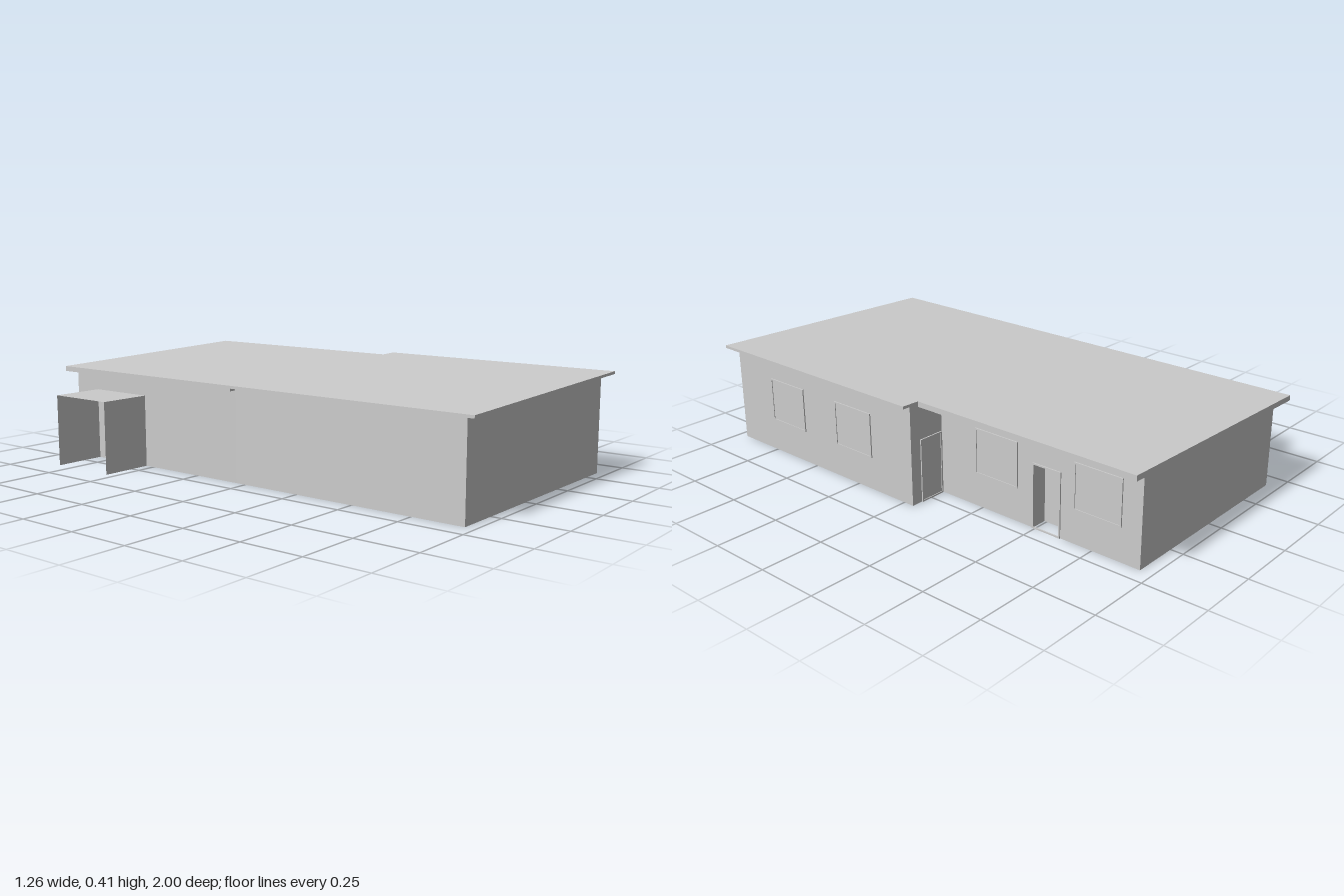
import * as THREE from 'three';

const material = new THREE.MeshStandardMaterial({ color: 0xcccccc, side: THREE.DoubleSide, flatShading: true });
const SEAM = -0.045;

// Height of the sloping roof surface at x
const roofTop = (x) => 0.377 + 0.028 * (x + 0.445);

function add(parent, name, geometry) {
  const mesh = new THREE.Mesh(geometry, material);
  mesh.name = name;
  parent.add(mesh);
  return mesh;
}

// Thin vertical wall from a to b ([x, z]), left to right as seen from outside
function wall(parent, name, a, b, topA, topB = topA, bottom = 0) {
  const p = [[a[0], bottom, a[1]], [b[0], bottom, b[1]], [b[0], topB, b[1]], [a[0], topA, a[1]]];
  const geometry = new THREE.BufferGeometry();
  geometry.setAttribute('position', new THREE.Float32BufferAttribute([0, 1, 2, 0, 2, 3].flatMap((i) => p[i]), 3));
  geometry.computeVertexNormals();
  return add(parent, name, geometry);
}

// Sloping roof slab running along z
function roof(parent, name, x0, x1, z0, z1, thickness) {
  const s = new THREE.Shape();
  s.moveTo(x0, roofTop(x0) - thickness);
  s.lineTo(x1, roofTop(x1) - thickness);
  s.lineTo(x1, roofTop(x1));
  s.lineTo(x0, roofTop(x0));
  s.closePath();
  const geometry = new THREE.ExtrudeGeometry(s, { depth: z1 - z0, bevelEnabled: false });
  return add(parent, name, geometry.translate(0, 0, z0));
}

// Raised frame with an optional inset panel, facing +z before rotation
function framed(parent, name, w, h, position, turn, panel = true) {
  const group = new THREE.Group();
  group.name = name;
  const b = 0.006;
  const rect = (target, x, y) => {
    target.moveTo(-x, -y);
    target.lineTo(x, -y);
    target.lineTo(x, y);
    target.lineTo(-x, y);
    target.closePath();
    return target;
  };
  const s = rect(new THREE.Shape(), w / 2, h / 2);
  s.holes.push(rect(new THREE.Path(), w / 2 - b, h / 2 - b));
  add(group, 'frame', new THREE.ExtrudeGeometry(s, { depth: 0.005, bevelEnabled: false }));
  if (panel) add(group, 'panel', new THREE.PlaneGeometry(w - 2 * b, h - 2 * b).translate(0, 0, 0.002));
  group.position.set(...position);
  group.rotation.y = turn;
  parent.add(group);
}

export function createModel() {
  const model = new THREE.Group();
  model.name = 'house';
  const L = -0.42, RF = 0.595, RB = 0.435, ZF = 0.96, ZB = -0.95;
  const tF = (x) => roofTop(x) - 0.011, tB = (x) => roofTop(x) - 0.021;

  // Front block, open underneath
  wall(model, 'frontWall', [L, ZF], [RF, ZF], tF(L), tF(RF));
  wall(model, 'frontBlockLeftWall', [RF, ZF], [RF, SEAM], tF(RF));
  wall(model, 'partitionWall', [RF, SEAM], [L, SEAM], tF(RF), tF(L));
  wall(model, 'frontBlockRightWall', [L, SEAM], [L, ZF], tF(L));

  // Back block, with a doorway in its left wall
  const d0 = -0.49, d1 = -0.61, doorTop = 0.255, inner = RB - 0.065;
  wall(model, 'backWall', [RB, ZB], [L, ZB], tB(RB), tB(L));
  wall(model, 'backBlockRightWall', [L, ZB], [L, SEAM], tB(L));
  wall(model, 'backBlockLeftWall', [RB, SEAM], [RB, d0], tB(RB));
  wall(model, 'backBlockLeftWall', [RB, d1], [RB, ZB], tB(RB));
  wall(model, 'wallAboveDoor', [RB, d0], [RB, d1], tB(RB), tB(RB), doorTop);

  // Recessed entrance
  wall(model, 'doorJamb', [RB, d0], [inner, d0], doorTop);
  wall(model, 'doorJamb', [inner, d1], [RB, d1], doorTop);
  wall(model, 'entranceDoor', [inner, d0], [inner, d1], doorTop);
  add(model, 'entranceCeiling', new THREE.PlaneGeometry(RB - inner, d0 - d1).rotateX(Math.PI / 2)
    .translate((RB + inner) / 2, doorTop, (d0 + d1) / 2));
  framed(model, 'entranceFrame', 0.126, doorTop, [RB, doorTop / 2, (d0 + d1) / 2], Math.PI / 2, false);

  // Roofs
  roof(model, 'frontRoof', -0.445, 0.63, -0.047, 1, 0.011);
  roof(model, 'backRoof', -0.445, 0.555, -1, -0.047, 0.021);

  // Windows on the left side
  for (const [x, z] of [[RF, 0.655], [RF, 0.268], [RB, -0.318], [RB, -0.77]])
    framed(model, 'window', 0.2, 0.18, [x, 0.222, z], Math.PI / 2);

  // Door in the step between the two blocks
  framed(model, 'stepDoor', 0.11, 0.252, [0.493, 0.126, SEAM], Math.PI);

  // Porch: two thin walls and a flat roof, open on its outer side
  const P = -0.635, p0 = -0.825, p1 = -0.54, h = 0.29;
  wall(model, 'porchBackWall', [L, p0], [P, p0], h);
  wall(model, 'porchFrontWall', [P, p1], [L, p1], h);
  add(model, 'porchRoof', new THREE.PlaneGeometry(L - P, p1 - p0).rotateX(-Math.PI / 2)
    .translate((L + P) / 2, h, (p0 + p1) / 2));
  framed(model, 'porchDoor', 0.12, 0.25, [-0.502, 0.125, p0], Math.PI);

  return model;
}
